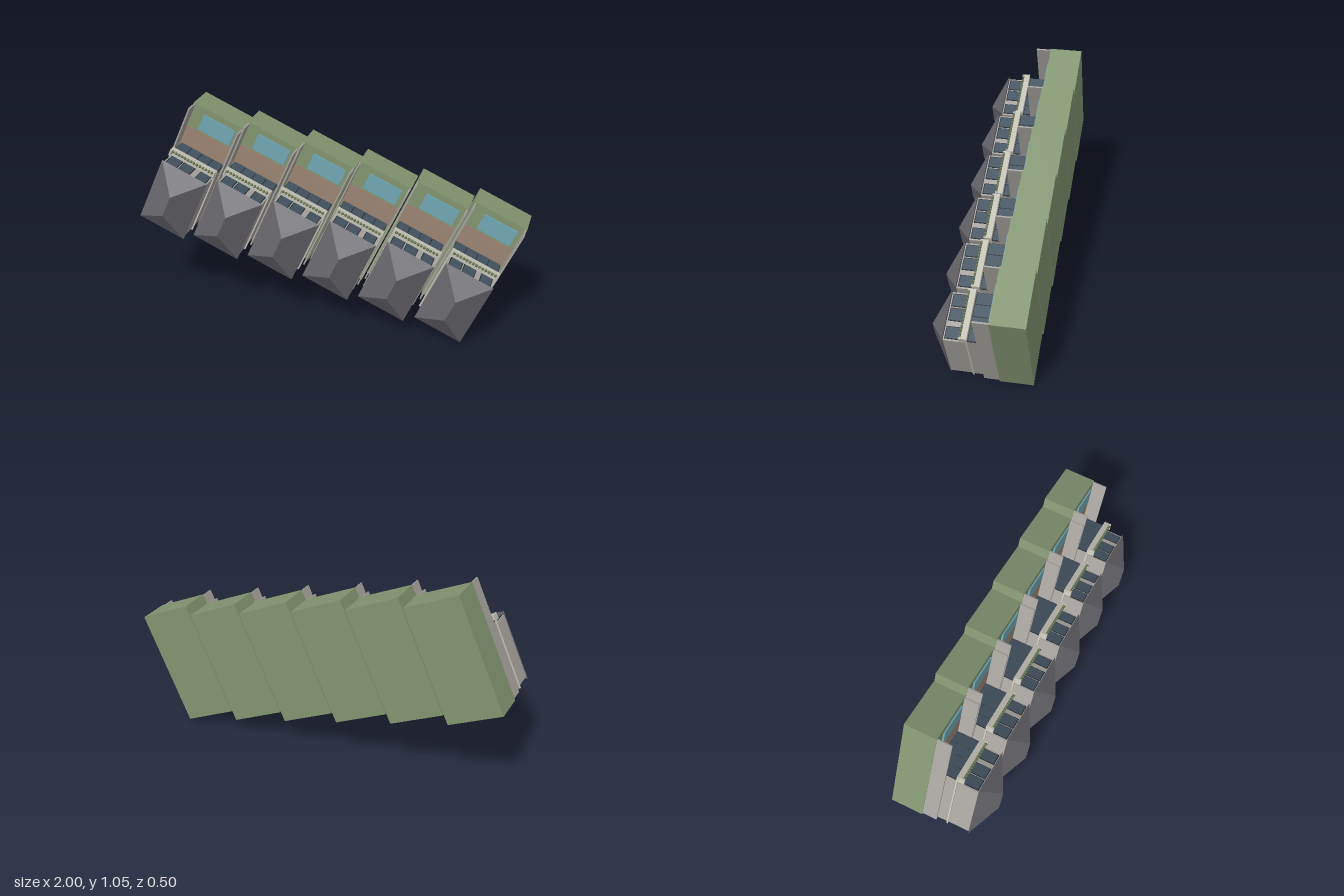
import * as THREE from 'three';

const mat = (name, color) => {
  const m = new THREE.MeshStandardMaterial({ color });
  m.name = name;
  return m;
};

export function createModel() {
  const grass = mat('grass', 0x829470);
  const wall = mat('wallGrey', 0xa6a29d);
  const pale = mat('paleStone', 0xc2c0b4);
  const slate = mat('roofSlate', 0x66656b);
  const glass = mat('darkGlass', 0x435360);
  const frame = mat('windowFrame', 0x22282d);
  const paving = mat('brownPaving', 0x9a8372);
  const water = mat('poolWater', 0x6fa6b2);
  const shrub = mat('shrubGreen', 0x62734c);

  // Box given by its extents: x across the plot, y along it, z is height
  const box = (parent, name, material, x0, x1, y0, y1, z0, z1) => {
    const m = new THREE.Mesh(new THREE.BoxGeometry(x1 - x0, y1 - y0, z1 - z0), material);
    m.position.set((x0 + x1) / 2, (y0 + y1) / 2, (z0 + z1) / 2);
    m.name = name;
    parent.add(m);
    return m;
  };

  // Hip roof: a box whose top is drawn in to a ridge
  const roofGeometry = () => {
    let g = new THREE.BoxGeometry(0.261, 0.365, 0.087);
    const p = g.attributes.position;
    for (let i = 0; i < p.count; i++) {
      if (p.getZ(i) > 0) p.setXY(i, 0, Math.sign(p.getY(i)) * 0.06);
    }
    g = g.toNonIndexed();
    g.computeVertexNormals();
    return g;
  };
  const roofGeo = roofGeometry();
  const shrubGeo = new THREE.SphereGeometry(0.0075, 8, 6);

  const createHouse = () => {
    const house = new THREE.Group();

    // Plot, paving and pool
    box(house, 'plot', grass, 0, 0.295, 0, 0.614, -0.25, -0.083);
    box(house, 'patio', paving, 0.012, 0.283, 0.365, 0.478, -0.083, -0.08);
    box(house, 'pool', water, 0.075, 0.26, 0.49, 0.581, -0.083, -0.075);

    // Side walls along the plot
    box(house, 'leftGardenWall', wall, 0.003, 0.011, 0.008, 0.61, -0.083, -0.007);
    box(house, 'rightGardenWall', wall, 0.284, 0.292, 0.008, 0.61, -0.083, -0.007);

    // Two storeys with a floor slab between
    box(house, 'groundFloor', wall, 0.02, 0.275, 0.012, 0.365, -0.083, 0.042);
    box(house, 'floorSlab', pale, 0.015, 0.28, 0.004, 0.395, 0.042, 0.05);
    box(house, 'upperFloor', wall, 0.022, 0.273, 0.012, 0.348, 0.05, 0.16);

    // Ground floor glazing facing the garden
    box(house, 'groundFrame', frame, 0.02, 0.275, 0.365, 0.368, -0.083, 0.042);
    for (let i = 0; i < 4; i++) {
      const x = 0.023 + i * 0.063;
      box(house, 'groundWindow', glass, x, x + 0.059, 0.368, 0.371, -0.08, 0.038);
    }

    // Upper windows
    for (const [x0, x1] of [[0.03, 0.098], [0.104, 0.172], [0.2, 0.264]]) {
      box(house, 'upperFrame', frame, x0, x1, 0.348, 0.35, 0.052, 0.154);
      box(house, 'upperWindow', glass, x0 + 0.004, x1 - 0.004, 0.35, 0.352, 0.055, 0.15);
    }

    // Balcony parapet with a row of shrubs
    box(house, 'balconyParapet', pale, 0.017, 0.278, 0.38, 0.395, 0.05, 0.07);
    for (const x of [0.017, 0.27]) {
      box(house, 'balconyPost', pale, x, x + 0.008, 0.36, 0.395, 0.05, 0.082);
    }
    for (let i = 0; i < 14; i++) {
      const s = new THREE.Mesh(shrubGeo, shrub);
      s.position.set(0.034 + i * 0.0175, 0.3875, 0.076);
      s.name = 'shrub';
      house.add(s);
    }

    const roof = new THREE.Mesh(roofGeo, slate);
    roof.position.set(0.1475, 0.1835, 0.2035);
    roof.name = 'hipRoof';
    house.add(roof);
    return house;
  };

  // Six staggered houses in a turned terrace
  const terrace = new THREE.Group();
  terrace.name = 'terrace';
  for (let i = 0; i < 6; i++) {
    const house = createHouse();
    house.name = 'house' + (i + 1);
    house.rotation.z = THREE.MathUtils.degToRad(-24);
    house.position.set(-1 + 0.296 * i, 0.489 - 0.0738 * i, 0);
    terrace.add(house);
  }
  return terrace;
}
